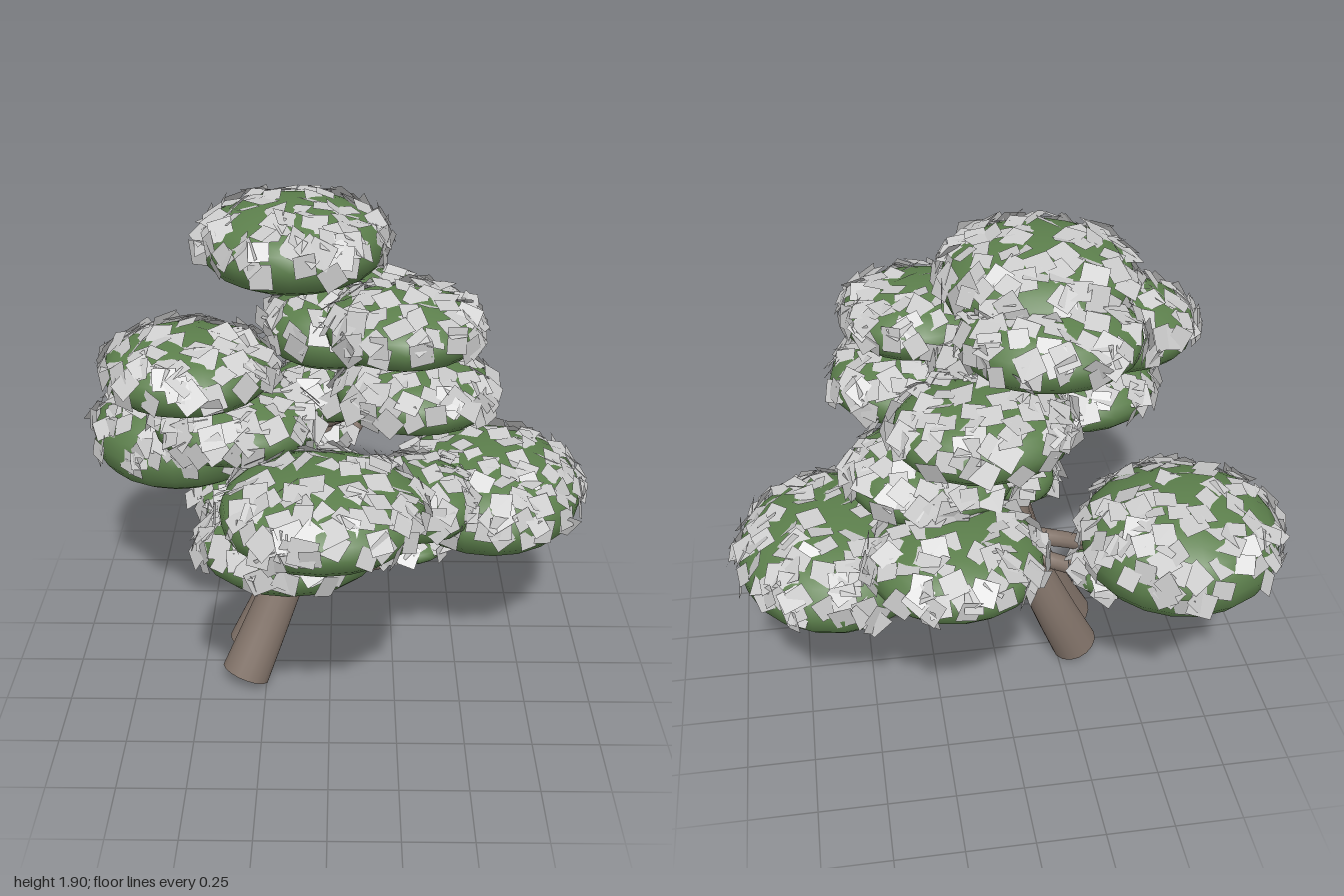
import * as THREE from 'three';
import { mergeGeometries } from 'three/addons/utils/BufferGeometryUtils.js';

const V = (a) => new THREE.Vector3(...a);

// Small seeded generator, so every build is the same
function seeded(seed) {
  return () => {
    seed = (seed * 1664525 + 1013904223) % 4294967296;
    return seed / 4294967296;
  };
}

// Foliage pads: centre x, y, z, then radii x, y, z
const PADS = [
  // crown
  [-0.13, 1.73, -0.10, 0.325, 0.145, 0.34],
  [-0.13, 1.65, -0.36, 0.30, 0.12, 0.26],
  // upper tier
  [0.25, 1.51, 0.14, 0.27, 0.11, 0.27],
  [-0.48, 1.38, 0.20, 0.29, 0.12, 0.29],
  [0.10, 1.37, -0.42, 0.30, 0.12, 0.26],
  // middle tier
  [0.30, 1.26, 0.12, 0.28, 0.11, 0.26],
  [-0.33, 1.16, 0.15, 0.29, 0.11, 0.28],
  [0.26, 1.13, -0.29, 0.29, 0.11, 0.28],
  [-0.02, 1.03, 0.56, 0.34, 0.13, 0.33],
  [0.22, 1.00, -0.62, 0.29, 0.12, 0.28],
  // lower tier
  [-0.13, 0.86, 0.47, 0.31, 0.12, 0.28],
  [-0.60, 0.84, -0.42, 0.35, 0.19, 0.35],
  [0.60, 0.72, -0.16, 0.36, 0.17, 0.40],
  [0.30, 0.79, 0.06, 0.26, 0.12, 0.24],
  // inner tufts around the trunk
  [0.00, 1.42, -0.09, 0.24, 0.13, 0.24],
  [-0.01, 1.19, -0.06, 0.20, 0.10, 0.20],
  [-0.07, 0.95, -0.12, 0.13, 0.08, 0.13],
  // small tufts near the lower branches
  [-0.40, 0.61, -0.28, 0.15, 0.07, 0.15],
  [-0.12, 0.70, 0.22, 0.17, 0.07, 0.15],
  [0.30, 0.51, -0.10, 0.15, 0.05, 0.15],
  [0.14, 0.60, -0.20, 0.14, 0.07, 0.14],
];

// Fuller shoulders than a plain ellipsoid
const swell = (y) => Math.sign(y) * Math.abs(y) ** 0.78;

// Flattened ball with a full, rounded rim
function padGeometry(rx, ry, rz) {
  const g = new THREE.SphereGeometry(1, 20, 12);
  const p = g.attributes.position;
  for (let i = 0; i < p.count; i++) p.setY(i, swell(p.getY(i)));
  g.scale(rx, ry, rz);
  return g;
}

// Square leaf cards lying loosely over the upper part of a pad
function leafGeometry(rx, ry, rz, rand) {
  const cards = [];
  const count = Math.round(1050 * rx * rz) + 8;
  const forward = new THREE.Vector3(0, 0, 1);
  for (let i = 0; i < count; i++) {
    const y = -0.1 + 1.08 * (i + rand()) / count;
    const h = Math.sqrt(Math.max(0, 1 - y * y));
    const a = i * 2.39996 + (rand() - 0.5) * 0.8;
    const dir = new THREE.Vector3(h * Math.cos(a), y, h * Math.sin(a));
    const normal = new THREE.Vector3(dir.x / rx, dir.y / ry, dir.z / rz).normalize();
    const lean = new THREE.Vector3(rand() - 0.5, rand() - 0.5, rand() - 0.5);
    const facing = normal.clone().addScaledVector(lean, 0.8).normalize();
    const size = 0.065 + 0.025 * rand();
    const card = new THREE.PlaneGeometry(size, size);
    card.rotateZ(rand() * Math.PI * 2);
    card.applyQuaternion(new THREE.Quaternion().setFromUnitVectors(forward, facing));
    const at = new THREE.Vector3(dir.x * rx, swell(y) * ry, dir.z * rz);
    at.addScaledVector(normal, 0.014 * rand());
    cards.push(card.translate(at.x, at.y, at.z));
  }
  return mergeGeometries(cards);
}

// Tube along a curve that narrows from r0 to r1
function taperedTube(points, r0, r1, sides = 16, steps = 16) {
  const curve = new THREE.CatmullRomCurve3(points.map(V));
  const g = new THREE.TubeGeometry(curve, steps, 1, sides, false);
  const p = g.attributes.position;
  const v = new THREE.Vector3();
  for (let i = 0; i < p.count; i++) {
    const t = Math.floor(i / (sides + 1)) / steps;
    const c = curve.getPointAt(t);
    v.fromBufferAttribute(p, i).sub(c).multiplyScalar(r0 + (r1 - r0) * t).add(c);
    p.setXYZ(i, v.x, v.y, v.z);
  }
  return g;
}

export function createModel() {
  const model = new THREE.Group();
  model.name = 'tree';
  const bark = new THREE.MeshStandardMaterial({ color: 0x84756b, side: THREE.DoubleSide });
  const green = new THREE.MeshStandardMaterial({ color: 0x5c7f4c });
  const grey = new THREE.MeshStandardMaterial({ color: 0xcccccc, side: THREE.DoubleSide });

  const add = (parent, name, geometry, material) => {
    const mesh = new THREE.Mesh(geometry, material);
    mesh.name = name;
    parent.add(mesh);
  };

  // Two leaning trunks that meet below the crown
  const wood = new THREE.Group();
  wood.name = 'wood';
  model.add(wood);
  add(wood, 'frontTrunk', taperedTube(
    [[-0.33, 0.045, 0.135], [-0.23, 0.28, 0.06], [-0.12, 0.56, -0.01], [-0.06, 0.8, -0.04]], 0.095, 0.06), bark);
  add(wood, 'backTrunk', taperedTube(
    [[-0.32, 0.05, -0.06], [-0.22, 0.28, -0.08], [-0.11, 0.56, -0.08], [-0.05, 0.82, -0.07]], 0.092, 0.055), bark);
  add(wood, 'leader', taperedTube(
    [[-0.06, 0.75, -0.05], [-0.02, 1.1, -0.08], [-0.04, 1.4, -0.12], [-0.13, 1.68, -0.14]], 0.05, 0.02, 10), bark);

  // Lower limbs sag before they turn up; upper limbs reach straight out
  const limbs = [
    [[-0.12, 0.47, -0.04], [0.02, 0.43, -0.05], [0.18, 0.42, -0.08], [0.34, 0.49, -0.11], [0.50, 0.66, -0.15]],
    [[-0.10, 0.56, -0.05], [0.00, 0.52, -0.12], [0.10, 0.54, -0.18], [0.18, 0.62, -0.24]],
    [[-0.10, 0.54, -0.05], [-0.22, 0.53, -0.12], [-0.37, 0.57, -0.25], [-0.54, 0.78, -0.39]],
    [[-0.10, 0.60, 0.00], [-0.12, 0.63, 0.15], [-0.13, 0.71, 0.30], [-0.10, 0.86, 0.47]],
    [[-0.09, 0.63, -0.05], [-0.25, 0.65, -0.14], [-0.40, 0.71, -0.28], [-0.55, 0.82, -0.38]],
    [[-0.08, 0.66, -0.03], [0.06, 0.64, 0.00], [0.18, 0.68, 0.03], [0.28, 0.78, 0.06]],
    [[-0.04, 0.85, -0.05], [0.08, 0.90, -0.28], [0.20, 0.99, -0.55]],
    [[-0.05, 0.92, -0.05], [-0.18, 1.05, 0.06], [-0.33, 1.16, 0.15]],
    [[-0.03, 1.05, -0.07], [0.14, 1.16, 0.02], [0.30, 1.25, 0.12]],
  ];
  for (const points of limbs) add(wood, 'branch', taperedTube(points, 0.035, 0.022, 10), bark);

  // Foliage pads, each with its coat of leaf cards
  PADS.forEach(([x, y, z, rx, ry, rz], i) => {
    const pad = new THREE.Group();
    pad.name = 'foliagePad';
    pad.position.set(x, y, z);
    add(pad, 'foliageCore', padGeometry(rx, ry, rz), green);
    add(pad, 'leaves', leafGeometry(rx, ry, rz, seeded(17 + i * 7919)), grey);
    model.add(pad);
  });

  return model;
}
